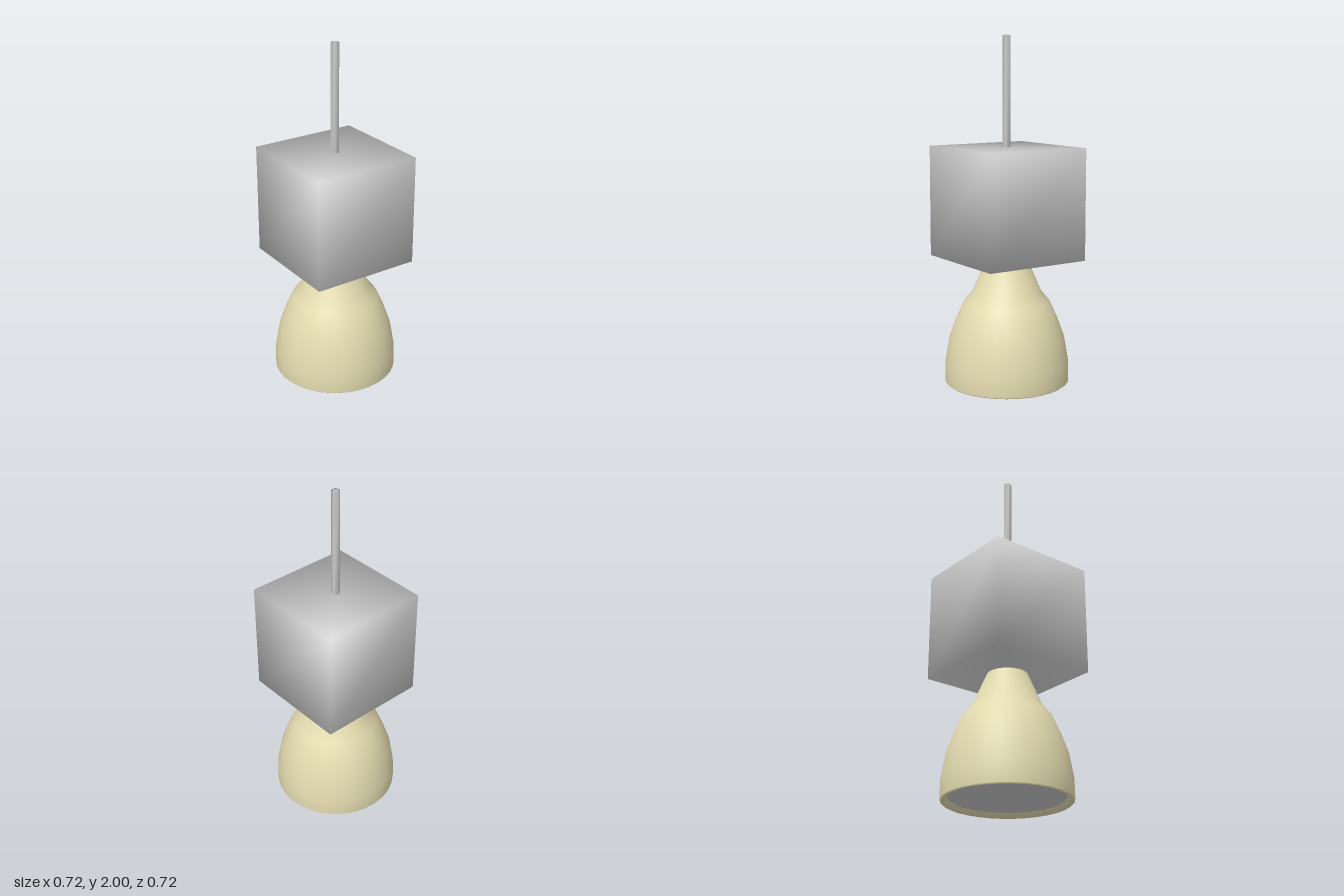
import * as THREE from 'three';
import { mergeVertices } from 'three/addons/utils/BufferGeometryUtils.js';

const grey = new THREE.MeshStandardMaterial({ color: 0xcccccc });
const cream = new THREE.MeshStandardMaterial({ color: 0xe4dcb0, side: THREE.DoubleSide });

// Shares corners between faces so the shading runs smoothly over the edges
function soften(geometry) {
  geometry.deleteAttribute('normal');
  geometry.deleteAttribute('uv');
  const merged = mergeVertices(geometry);
  merged.computeVertexNormals();
  return merged;
}

export function createModel() {
  const group = new THREE.Group();
  const add = (name, geometry, material, y) => {
    const mesh = new THREE.Mesh(geometry, material);
    mesh.name = name;
    mesh.position.y = y;
    group.add(mesh);
    return mesh;
  };

  // Five-sided hanging rod
  const rod = add('rod', soften(new THREE.CylinderGeometry(0.025, 0.025, 0.63, 5)), grey, 1.685);
  rod.rotation.y = Math.PI;

  // Cube housing
  add('housing', soften(new THREE.BoxGeometry(0.643, 0.643, 0.643)), grey, 1.05);

  // Bell shade: inner lip, rim, then up the outside to the neck
  const profile = [
    [0.32, 0.026], [0.335, 0.008], [0.353, 0], [0.362, 0.008], [0.36, 0.12],
    [0.335, 0.265], [0.297, 0.37], [0.253, 0.47], [0.2, 0.535], [0.117, 0.73],
  ].map(([r, y]) => new THREE.Vector2(r, y));
  add('shade', new THREE.LatheGeometry(profile, 32), cream, 0);

  // Diffuser disc set into the mouth of the shade, facing down
  const diffuser = add('diffuser', new THREE.CircleGeometry(0.321, 32), grey, 0.026);
  diffuser.rotation.x = Math.PI / 2;

  return group;
}
